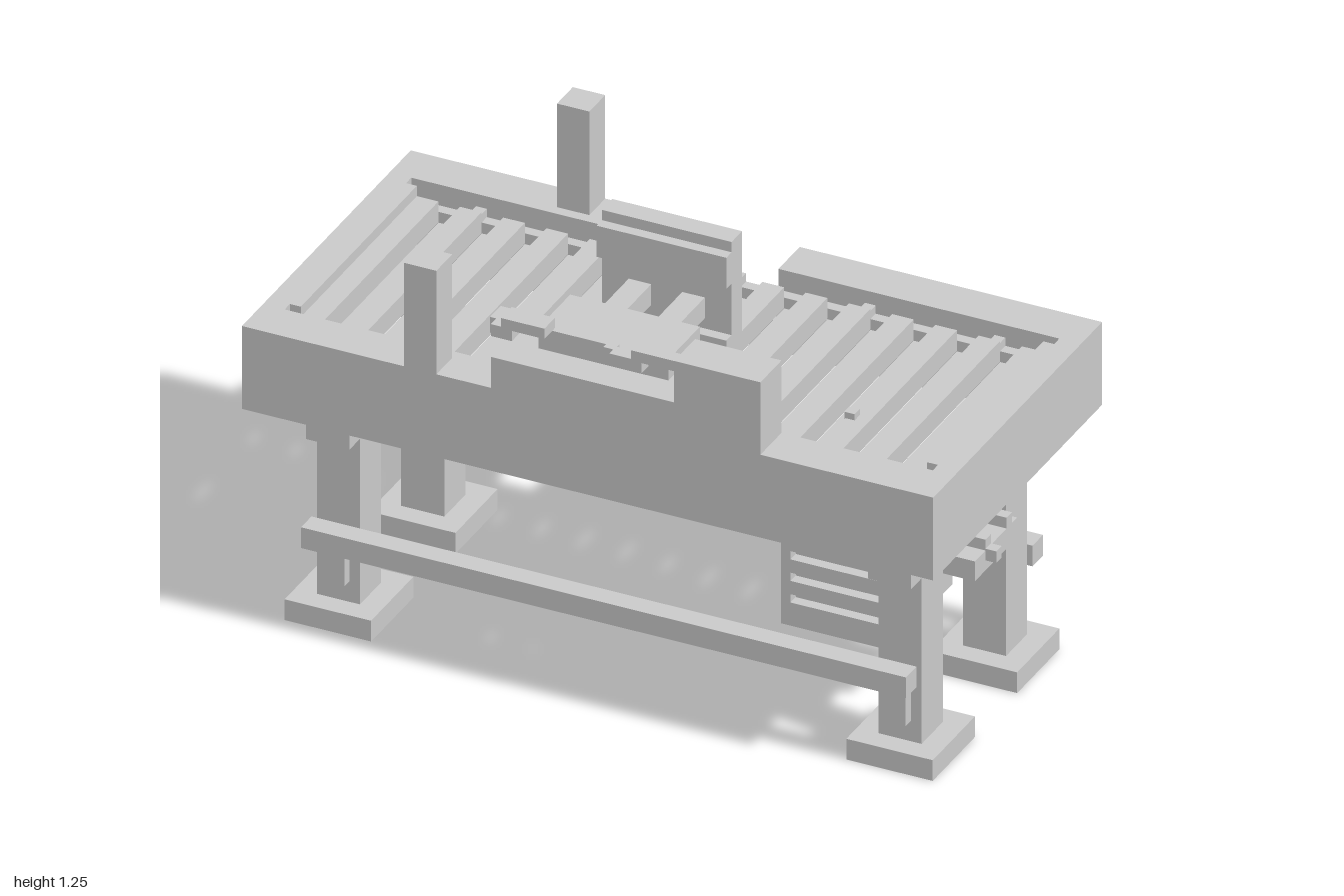
import * as THREE from 'three';

export function createModel() {
  const model = new THREE.Group();
  model.name = 'rollerTableMachine';
  const grey = new THREE.MeshStandardMaterial({ color: 0xcbcbcb });
  grey.name = 'grey';

  // Box given by its extents along each axis
  const box = (name, x0, x1, y0, y1, z0, z1) => {
    const mesh = new THREE.Mesh(new THREE.BoxGeometry(x1 - x0, y1 - y0, z1 - z0), grey);
    mesh.position.set((x0 + x1) / 2, (y0 + y1) / 2, (z0 + z1) / 2);
    mesh.name = name;
    model.add(mesh);
  };
  // The same box on both sides of x = 0
  const pair = (name, x0, x1, ...rest) => {
    box(name + 'Left', x0, x1, ...rest);
    box(name + 'Right', -x1, -x0, ...rest);
  };

  // Table frame, with a gap in the back rail
  box('frontRail', -1, 1, 0.6875, 0.9375, 0.375, 0.5);
  box('backRailLeft', 0.125, 1, 0.6875, 0.9375, -0.5, -0.375);
  box('backRailRight', -1, -0.1875, 0.6875, 0.9375, -0.5, -0.375);
  pair('endRail', 0.9375, 1, 0.6875, 0.9375, -0.375, 0.375);
  pair('endRailLip', 0.906, 0.9375, 0.6875, 0.9375, -0.344, 0.344);
  box('gapSill', -0.1875, 0.125, 0.6875, 0.78, -0.406, -0.375);

  // Bed of bars at two alternating heights
  for (let i = -14; i <= 14; i++) {
    const x = i * 0.0625;
    const y = i % 2 ? 0.78 : 0.844;
    box(i % 2 ? 'lowerBedBar' : 'upperBedBar', x - 0.03125, x + 0.03125, y, y + 0.0625, -0.344, 0.344);
  }

  // Side rails of the bed with small pegs
  for (const z of [-0.3595, 0.3595]) {
    box('bedRail', -0.9375, 0.9375, 0.8125, 0.875, z - 0.0155, z + 0.0155);
    for (let i = -2; i <= 2; i++) {
      box('bedPeg', i * 0.375, i * 0.375 + 0.031, 0.875, 0.9, z - 0.0155, z + 0.0155);
    }
  }
  box('bedStop', 0.59, 0.62, 0.844, 0.925, 0.156, 0.1875);

  // Legs, feet and stretchers
  for (const s of [-1, 1]) {
    pair('leg', 0.75, 0.875, 0.0625, 0.6875, s * 0.25 - 0.0625, s * 0.25 + 0.0625);
    pair('foot', 0.6875, 0.9375, 0, 0.0625, s * 0.25 - 0.125, s * 0.25 + 0.125);
    box('stretcher', -0.875, 0.875, 0.25, 0.3125, s * 0.375 - 0.031, s * 0.375 + 0.031);
  }
  pair('legTopBracket', 0.75, 0.875, 0.5625, 0.6875, 0.3125, 0.375);
  pair('stretcherBracket', 0.78, 0.844, 0.125, 0.28, 0.3125, 0.344);

  // Lower beam with two rails and an end pin
  box('lowerBeam', -0.9375, 0.9375, 0.47, 0.53, -0.125, 0.125);
  box('beamRailFront', -0.906, 0.9375, 0.5, 0.5625, 0.031, 0.0625);
  box('beamRailBack', -0.906, 0.9375, 0.5, 0.5625, -0.094, -0.0625);
  box('beamPin', 0.9375, 0.969, 0.5, 0.535, 0.031, 0.0625);

  // Cabinet with a slotted front
  box('cabinet', 0.4375, 0.75, 0.28, 0.5625, -0.125, 0.219);
  const rect = (path, x0, x1, y0, y1) =>
    path.moveTo(x0, y0).lineTo(x1, y0).lineTo(x1, y1).lineTo(x0, y1).closePath();
  const panel = rect(new THREE.Shape(), 0.4375, 0.75, 0.28, 0.5625);
  for (const y of [0.3625, 0.4275, 0.4925]) {
    panel.holes.push(rect(new THREE.Path(), 0.465, 0.72, y - 0.0125, y + 0.0125));
  }
  const front = new THREE.Mesh(
    new THREE.ExtrudeGeometry(panel, { depth: 0.031, bevelEnabled: false }), grey);
  front.position.z = 0.219;
  front.name = 'cabinetSlottedFront';
  model.add(front);
  box('cabinetRearBox', 0.4375, 0.5, 0.3125, 0.5, -0.1875, -0.125);

  // Stepped drive column
  box('driveBase', 0.5, 0.6875, 0.5625, 0.625, 0, 0.156);
  box('driveBaseRear', 0.5, 0.656, 0.5625, 0.625, -0.031, 0);
  box('driveTab', 0.6875, 0.72, 0.5625, 0.594, 0, 0.156);
  box('driveNeck', 0.5625, 0.656, 0.625, 0.656, 0, 0.094);
  box('driveHead', 0.5625, 0.656, 0.656, 0.6875, 0.031, 0.125);

  // Corner posts
  for (const z of [-0.5, 0.406]) box('post', -0.531, -0.4375, 0.9375, 1.25, z, z + 0.094);

  // Front housing
  box('housingLow', -0.28, 0.25, 0.9375, 1.031, 0.375, 0.5);
  box('housingTall', 0.25, 0.5, 0.9375, 1.156, 0.375, 0.5);
  pair('housingCheek', 0.1875, 0.28, 0.9375, 1.031, 0.3125, 0.375);

  // Pusher: block, arms and upright plate
  box('pusherBlock', -0.1875, 0.1875, 0.969, 1.094, 0.219, 0.406);
  pair('pusherArm', 0.045, 0.11, 1, 1.0625, 0.031, 0.219);
  box('pusherPlate', -0.1875, 0.1875, 0.9375, 1.25, -0.031, 0.031);
  box('plateUpperLip', -0.1875, 0.1875, 1.125, 1.219, 0.031, 0.0625);
  box('plateLowerLip', -0.1875, 0.1875, 0.9375, 0.969, 0.031, 0.0625);

  // Stepped grips over the housing
  box('gripBarLeft', 0.125, 0.25, 1.125, 1.156, 0.46, 0.5);
  box('gripMiddleLeft', 0.0625, 0.156, 1.094, 1.13, 0.46, 0.5);
  box('gripTipLeft', 0.031, 0.0625, 1.094, 1.125, 0.4375, 0.469);
  box('gripBarRight', -0.25, -0.125, 1.125, 1.156, 0.4375, 0.5);
  box('gripMiddleRight', -0.28, -0.219, 1.094, 1.13, 0.406, 0.5);
  box('gripTipRight', -0.3125, -0.25, 1.0625, 1.11, 0.375, 0.4375);

  return model;
}
